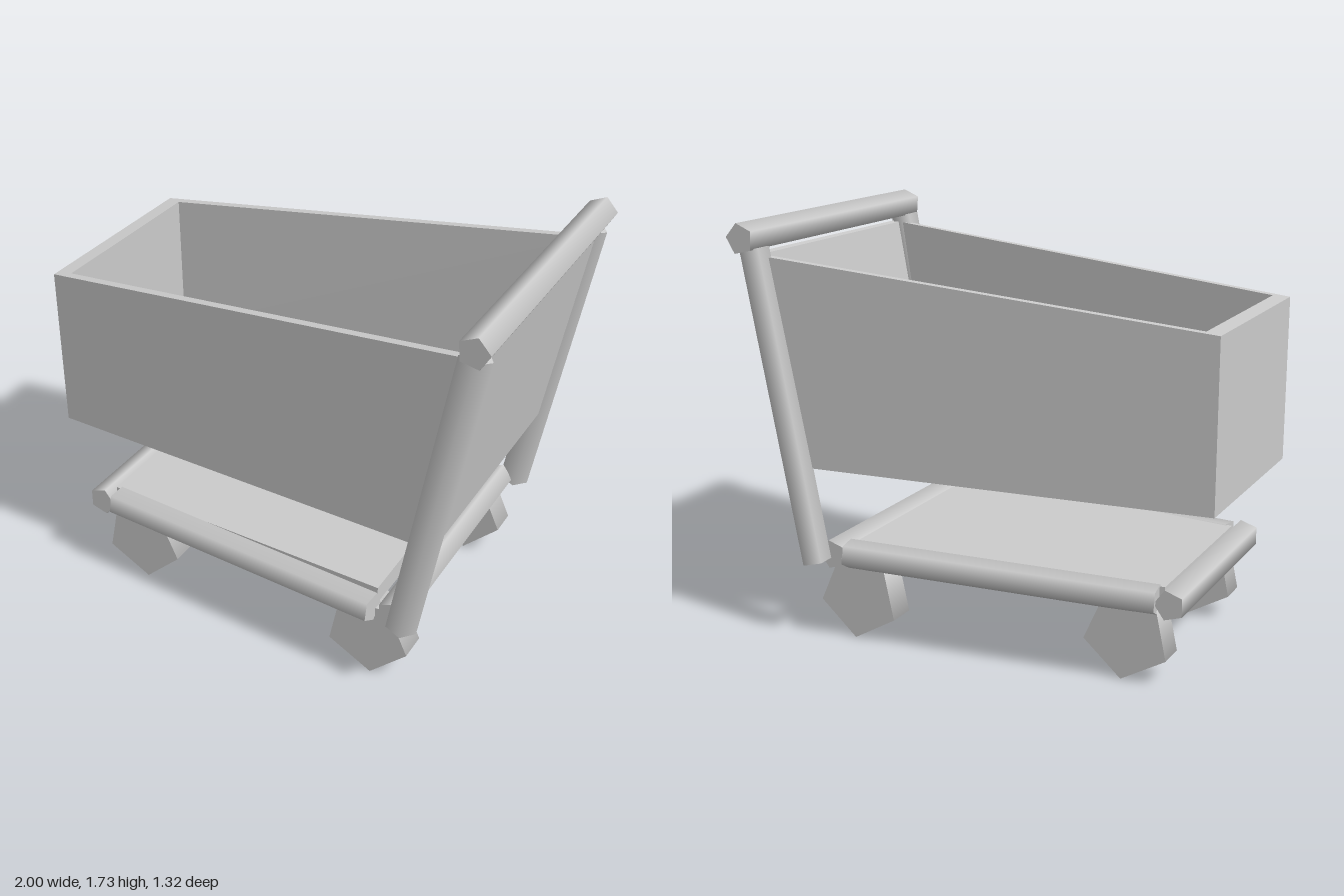
import * as THREE from 'three';

const material = new THREE.MeshStandardMaterial({ color: 0xcccccc });
const rad = THREE.MathUtils.degToRad;

function add(group, name, geometry) {
  const mesh = new THREE.Mesh(geometry, material);
  mesh.name = name;
  group.add(mesh);
  return mesh;
}

// Five-sided prism along z; angle is where its first corner sits in the xy plane
function prismZ(group, name, x, y, z, radius, length, angle) {
  const g = new THREE.CylinderGeometry(radius, radius, length, 5, 1, false, rad(angle + 90));
  g.rotateX(Math.PI / 2);
  add(group, name, g).position.set(x, y, z);
}

// Five-sided tube between two points
function tube(group, name, from, to, radius, angle) {
  const a = new THREE.Vector3(...from), b = new THREE.Vector3(...to);
  const dir = b.clone().sub(a);
  const g = new THREE.CylinderGeometry(radius, radius, dir.length(), 5, 1, false, rad(angle));
  const mesh = add(group, name, g);
  mesh.position.copy(a).add(b).multiplyScalar(0.5);
  mesh.quaternion.setFromUnitVectors(new THREE.Vector3(0, 1, 0), dir.normalize());
}

// Closed solid skinned over four-cornered rings, with hard edges.
// Each ring is [front x, front y, front half width, rear x, rear y, rear half width].
function ringSolid(rings) {
  const loops = rings.map(([x0, y0, w0, x1, y1, w1]) =>
    [[x0, y0, w0], [x1, y1, w1], [x1, y1, -w1], [x0, y0, -w0]]);
  const pos = [];
  const quad = (a, b, c, d) => [a, b, c, a, c, d].forEach((p) => pos.push(...p));
  for (let r = 0; r < loops.length - 1; r++) {
    for (let i = 0; i < 4; i++) {
      const j = (i + 1) % 4;
      quad(loops[r][i], loops[r][j], loops[r + 1][j], loops[r + 1][i]);
    }
  }
  const first = loops[0], last = loops[loops.length - 1];
  quad(first[3], first[2], first[1], first[0]);
  quad(last[0], last[1], last[2], last[3]);
  const g = new THREE.BufferGeometry();
  g.setAttribute('position', new THREE.Float32BufferAttribute(pos, 3));
  g.computeVertexNormals();
  return g;
}

export function createModel() {
  const cart = new THREE.Group();
  cart.name = 'cart';

  // Open basket: outside bottom, outside rim, inside rim, inside floor
  add(cart, 'basket', ringSolid([
    [-1, 0.72, 0.435, 0.78, 0.72, 0.567],
    [-1, 1.41, 0.435, 0.95, 1.595, 0.58],
    [-0.935, 1.416, 0.405, 0.915, 1.592, 0.545],
    [-0.935, 0.79, 0.405, 0.77, 0.79, 0.535],
  ]));

  // Lower shelf between the frame bars
  add(cart, 'shelf', ringSolid([
    [-0.8, 0.33, 0.4, 0.53, 0.33, 0.51],
    [-0.8, 0.4, 0.4, 0.53, 0.41, 0.51],
  ]));

  // Push handle and cross bars of the base
  prismZ(cart, 'handle', 0.935, 1.665, 0, 0.065, 1.32, 5);
  prismZ(cart, 'frontCrossBar', -0.84, 0.35, 0, 0.064, 0.92, 0);
  prismZ(cart, 'rearCrossBar', 0.62, 0.35, 0.015, 0.064, 1.12, 0);

  for (const s of [1, -1]) {
    const side = s > 0 ? 'Front' : 'Back';
    // Leaning post and tapering base bar
    tube(cart, 'post' + side, [0.675, 0.33, s * 0.593], [0.92, 1.62, s * 0.593], 0.065, 90);
    tube(cart, 'baseBar' + side, [-0.78, 0.35, s * 0.425],
      [0.535, s > 0 ? 0.35 : 0.375, s * 0.565], 0.064, 18);
    // Chunky five-sided wheels
    prismZ(cart, 'wheelA' + side, -0.655, 0.183, s * 0.375, 0.184, 0.125, -84);
    prismZ(cart, 'wheelB' + side, 0.5, 0.183, s * 0.483, 0.184, 0.125, -84);
  }
  return cart;
}
